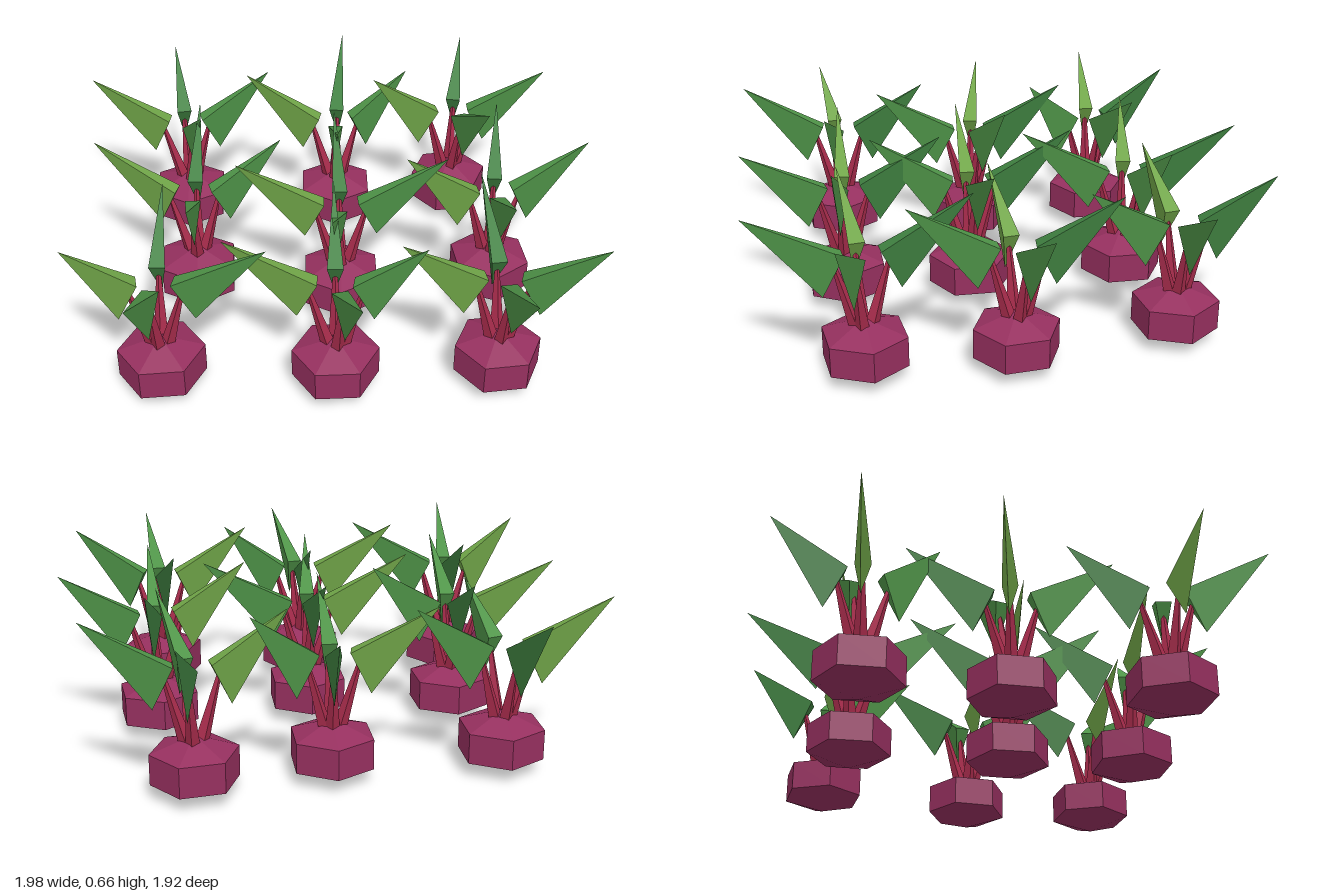
import * as THREE from 'three';
import { ConvexGeometry } from 'three/addons/geometries/ConvexGeometry.js';

const flat = (name, color) => {
  const m = new THREE.MeshStandardMaterial({ color, flatShading: true });
  m.name = name;
  return m;
};

// Each plant: centre x, z, bulb turn in degrees, then leaf tip x, z for left, right, back, front
const PLANTS = [
  [-0.61, -0.53, 30, -0.99, -0.57, -0.26, -0.63, -0.67, -0.87, -0.52, -0.25],
  [0.02, -0.53, 30, -0.35, -0.60, 0.32, -0.63, 0.06, -0.96, 0.02, -0.12],
  [0.52, -0.61, -8, 0.18, -0.55, 0.90, -0.61, 0.58, -0.94, 0.63, -0.25],
  [-0.54, 0.01, 28, -0.92, -0.08, -0.20, -0.09, -0.53, -0.38, -0.53, 0.40],
  [0.03, 0.09, 30, -0.37, 0.09, 0.44, 0.06, 0.01, -0.31, -0.01, 0.47],
  [0.63, 0.01, 24, 0.28, 0.06, 0.99, -0.05, 0.67, -0.36, 0.65, 0.40],
  [-0.64, 0.56, -5, -0.95, 0.62, -0.24, 0.63, -0.63, 0.20, -0.69, 0.95],
  [0.00, 0.58, -2, -0.40, 0.57, 0.32, 0.63, 0.00, 0.20, 0.08, 0.96],
  [0.60, 0.55, -7, 0.23, 0.61, 0.95, 0.65, 0.55, 0.15, 0.65, 0.95],
];

// Folded leaf: flat narrow top, deep keel below, one pointed tip; grows along +x
function leafGeometry(reach) {
  return new ConvexGeometry([
    new THREE.Vector3(0.065, 0.49, 0.03),
    new THREE.Vector3(0.065, 0.49, -0.03),
    new THREE.Vector3(0.14, 0.33, 0),
    new THREE.Vector3(reach, 0.66, 0),
  ]);
}

// Tapered stalk leaning outwards along +x
function stemGeometry() {
  const from = new THREE.Vector3(0.025, 0.19, 0), to = new THREE.Vector3(0.095, 0.44, 0);
  const dir = to.clone().sub(from);
  const g = new THREE.CylinderGeometry(0.009, 0.027, dir.length(), 4);
  g.applyQuaternion(new THREE.Quaternion().setFromUnitVectors(new THREE.Vector3(0, 1, 0), dir.clone().normalize()));
  const mid = from.add(to).multiplyScalar(0.5);
  return g.translate(mid.x, mid.y, mid.z);
}

export function createModel() {
  const group = new THREE.Group();
  group.name = 'rootVegetablePatch';
  const bulbMat = flat('beet purple', 0x96305f);
  const stemMat = flat('stem red', 0xa82c4c);
  const leafMats = [
    flat('yellow green', 0x70a548),
    flat('leaf green', 0x4f9448),
    flat('dark leaf green', 0x3f8040),
  ];
  leafMats.push(leafMats[1]);

  // Six-sided bulb with a straight middle band
  const bulbGeo = new THREE.SphereGeometry(0.187, 6, 3).scale(1, 0.115 / 0.187, 1).translate(0, 0.115, 0);
  const stemGeo = stemGeometry();

  for (const [x, z, turn, ...tips] of PLANTS) {
    const plant = new THREE.Group();
    plant.name = 'plant';
    plant.position.set(x, 0, z);
    const bulb = new THREE.Mesh(bulbGeo, bulbMat);
    bulb.name = 'bulb';
    bulb.rotation.y = -THREE.MathUtils.degToRad(turn);
    plant.add(bulb);

    // Four stems, each carrying one leaf
    for (let i = 0; i < 4; i++) {
      const dx = tips[i * 2] - x, dz = tips[i * 2 + 1] - z;
      const stem = new THREE.Mesh(stemGeo, stemMat);
      stem.name = 'stem';
      const leaf = new THREE.Mesh(leafGeometry(Math.hypot(dx, dz)), leafMats[i]);
      leaf.name = 'leaf';
      stem.rotation.y = leaf.rotation.y = -Math.atan2(dz, dx);
      plant.add(stem, leaf);
    }
    group.add(plant);
  }
  return group;
}
